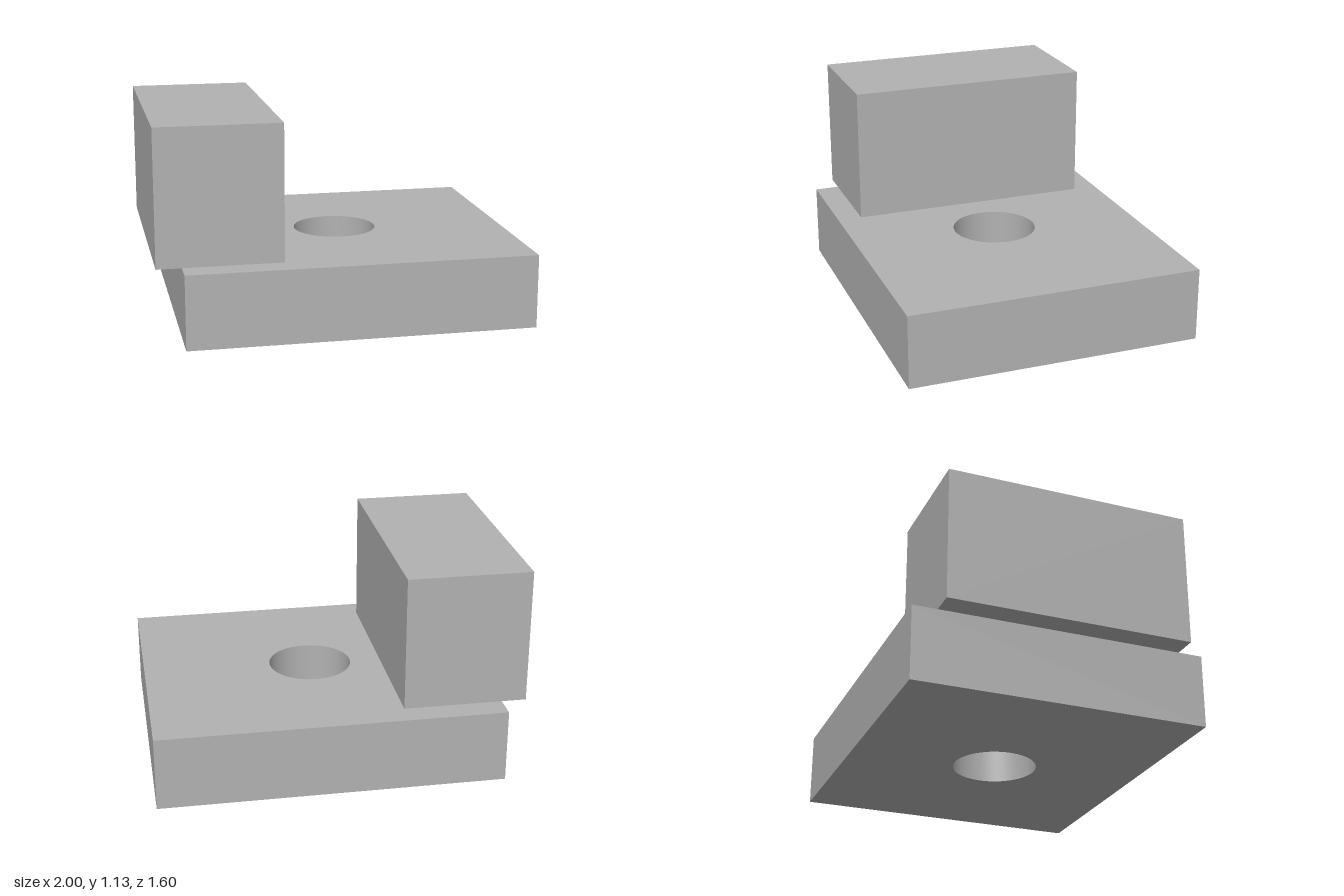
import * as THREE from 'three';
import { toCreasedNormals } from 'three/addons/utils/BufferGeometryUtils.js';

export function createModel() {
  const model = new THREE.Group();
  const grey = new THREE.MeshStandardMaterial({ name: 'grey', color: 0xb2b2b2 });

  // base plate with a round through-hole at its centre
  const left = -0.867, right = 1, halfDepth = 0.8, height = 0.4;
  const outline = new THREE.Shape([
    new THREE.Vector2(left, -halfDepth),
    new THREE.Vector2(right, -halfDepth),
    new THREE.Vector2(right, halfDepth),
    new THREE.Vector2(left, halfDepth),
  ]);
  outline.holes.push(new THREE.Path().absarc((left + right) / 2, 0, 0.229, 0, Math.PI * 2, true));
  const plate = new THREE.ExtrudeGeometry(outline, { depth: height, bevelEnabled: false, curveSegments: 32 });
  plate.rotateX(-Math.PI / 2);
  const basePlate = new THREE.Mesh(toCreasedNormals(plate, Math.PI / 6), grey);
  basePlate.name = 'basePlate';
  model.add(basePlate);

  // upright block, overhanging the plate's edge
  const block = new THREE.Mesh(new THREE.BoxGeometry(0.667, 0.733, 1.333), grey);
  block.name = 'uprightBlock';
  block.position.set(-0.6665, height + 0.3665, 0);
  model.add(block);

  return model;
}
